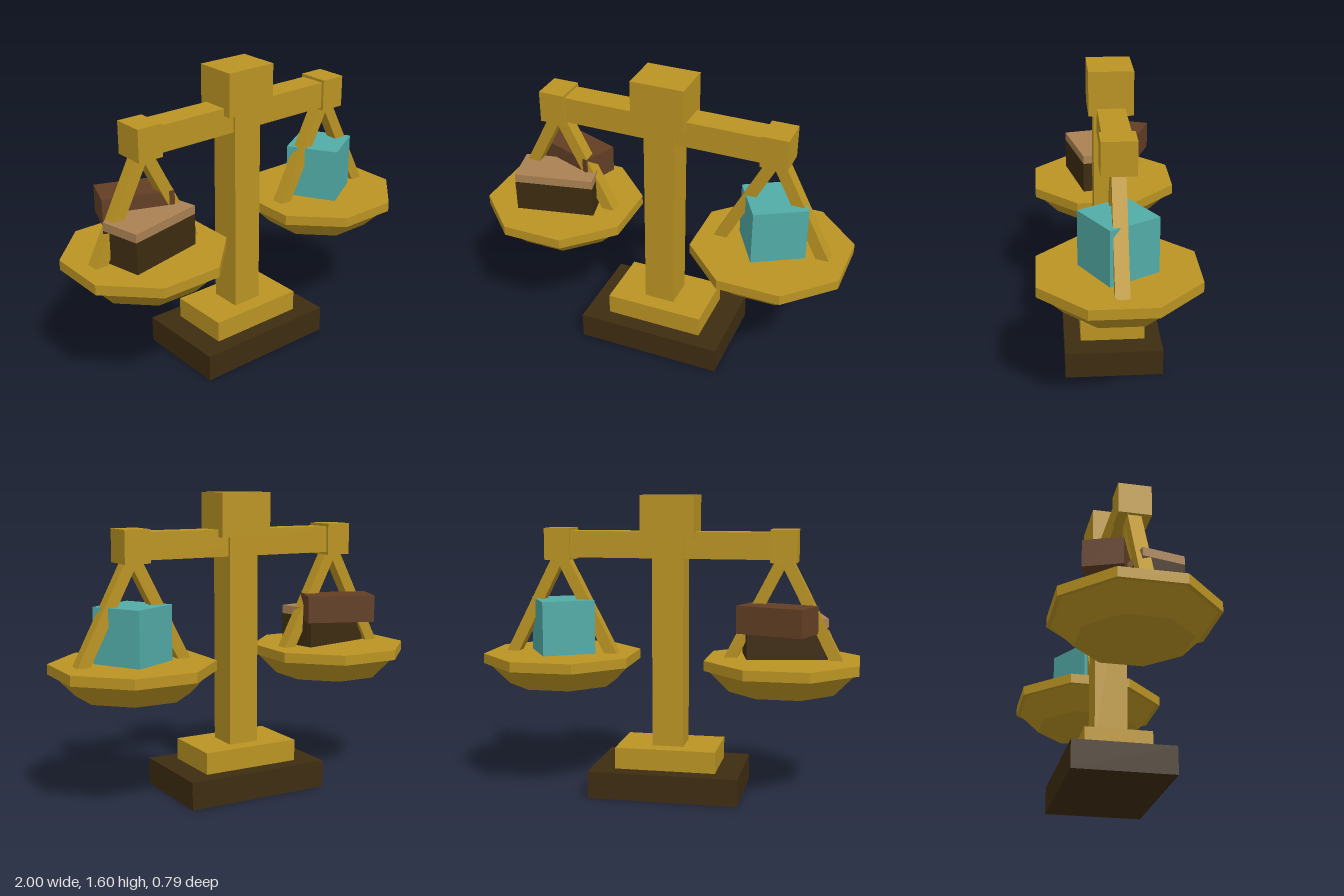
import * as THREE from 'three';

const makeMaterial = (name, color) => {
  const m = new THREE.MeshStandardMaterial({ color });
  m.name = name;
  m.flatShading = true;
  return m;
};

export function createModel() {
  const gold = makeMaterial('gold', 0xbb9423);
  const darkWood = makeMaterial('dark wood', 0x3e2c11);
  const teal = makeMaterial('teal', 0x52aca8);
  const brown = makeMaterial('brown', 0x633f25);
  const tan = makeMaterial('tan', 0xaa8253);

  const model = new THREE.Group();
  model.name = 'balanceScale';

  const add = (parent, name, geometry, material) => {
    const mesh = new THREE.Mesh(geometry, material);
    mesh.name = name;
    parent.add(mesh);
    return mesh;
  };
  // Box given by width, depth and its bottom and top heights
  const box = (parent, name, material, w, d, y0, y1, x = 0, z = 0, turn = 0) => {
    const mesh = add(parent, name, new THREE.BoxGeometry(w, y1 - y0, d), material);
    mesh.position.set(x, (y0 + y1) / 2, z);
    mesh.rotation.y = turn;
    return mesh;
  };
  // Octagonal slab with a flat side facing the front; radii measured to the flats
  const octagon = (parent, name, material, topR, bottomR, y0, y1) => {
    const k = 1 / Math.cos(Math.PI / 8);
    const geometry = new THREE.CylinderGeometry(topR * k, bottomR * k, y1 - y0, 8);
    geometry.rotateY(Math.PI / 8);
    add(parent, name, geometry, material).position.y = (y0 + y1) / 2;
  };

  // Stand
  box(model, 'base', darkWood, 0.8, 0.52, 0, 0.145);
  box(model, 'plinth', gold, 0.54, 0.344, 0.145, 0.26);
  box(model, 'post', gold, 0.167, 0.172, 0.26, 1.37);
  box(model, 'head', gold, 0.286, 0.228, 1.366, 1.595);
  box(model, 'beam', gold, 1.1, 0.143, 1.265, 1.405);

  // Slanted hanger bar, cut level at both ends
  const hangerGeometry = (side) => {
    const at = (y) => 0.276 - 0.515 * (y - 0.745);
    const [low, high, half] = [0.72, 1.29, 0.035];
    const points = [
      [at(low) - half, low], [at(low) + half, low],
      [at(high) + half, high], [at(high) - half, high],
    ].map(([x, y]) => new THREE.Vector2(side * x, y));
    return new THREE.ExtrudeGeometry(new THREE.Shape(points), { depth: 0.07, bevelEnabled: false })
      .translate(0, 0, -0.035);
  };

  // Two hanging pans
  for (const side of [-1, 1]) {
    const arm = new THREE.Group();
    arm.name = side > 0 ? 'leftPan' : 'rightPan';
    arm.position.x = side * 0.603;
    model.add(arm);
    box(arm, 'endBlock', gold, 0.14, 0.172, 1.25, 1.42);
    octagon(arm, 'panRim', gold, 0.397, 0.397, 0.692, 0.745);
    octagon(arm, 'panBowl', gold, 0.375, 0.27, 0.577, 0.692);
    for (const s of [-1, 1]) add(arm, 'hanger', hangerGeometry(s), gold);
  }

  // Cube on the left pan
  box(model, 'weightCube', teal, 0.285, 0.285, 0.745, 1.035, 0.6, -0.002, Math.PI / 6);

  // Stacked blocks on the right pan
  const turn = 0.213;
  box(model, 'lowerBlock', darkWood, 0.425, 0.222, 0.745, 0.914, -0.605, 0.057, turn);
  box(model, 'lowerBlockTop', tan, 0.425, 0.222, 0.914, 0.96, -0.605, 0.057, turn);
  box(model, 'upperBlock', brown, 0.369, 0.203, 0.89, 1.035, -0.578, -0.115, -0.36);

  return model;
}
